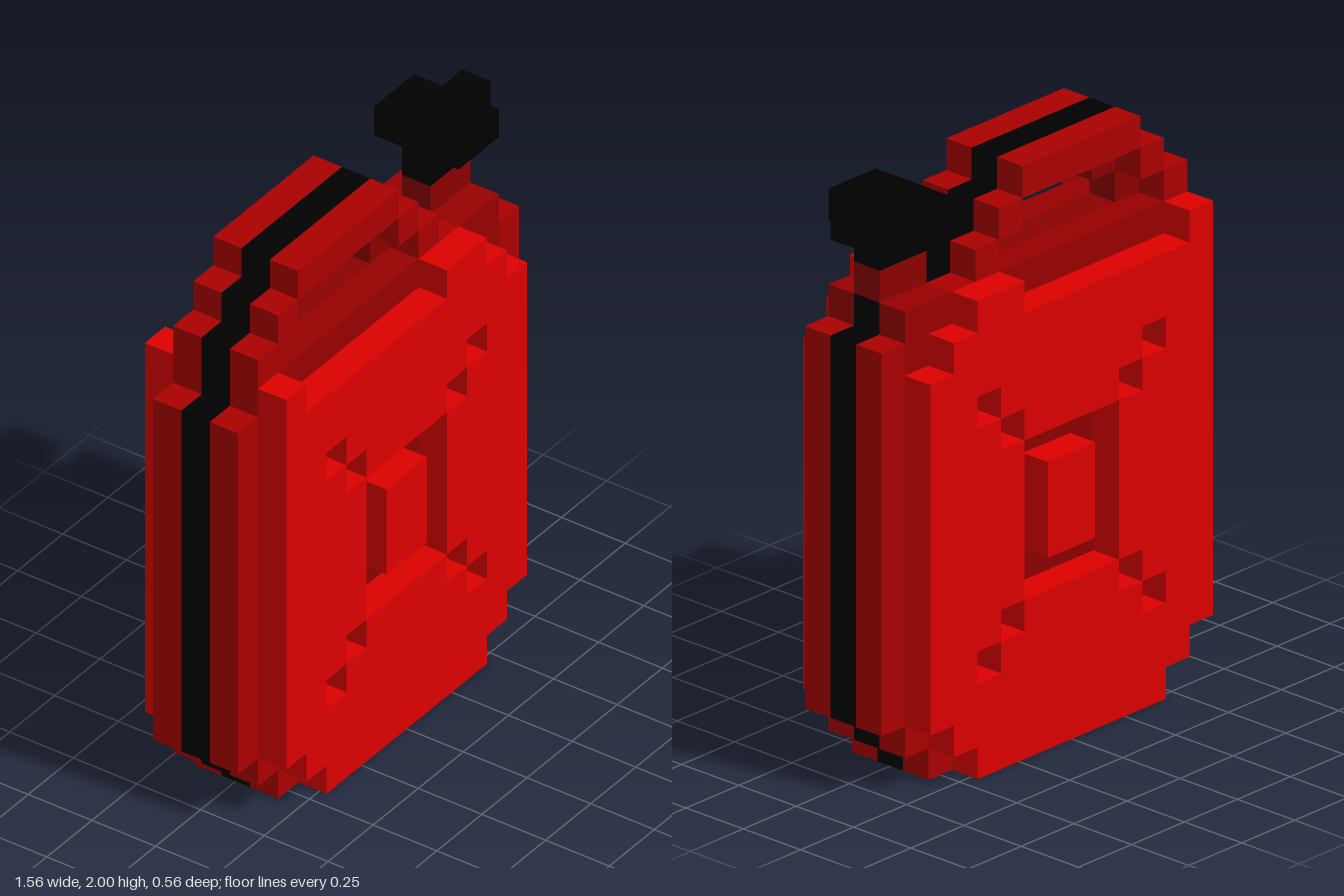
import * as THREE from 'three';

const U = 2 / 18; // size of one block

const mat = (name, color) => {
  const m = new THREE.MeshStandardMaterial({ color });
  m.name = name;
  return m;
};

export function createModel() {
  const red = mat('bright red', 0xdc0000);
  const mid = mat('deep red', 0xaa0000);
  const shade = mat('shaded red', 0x980000);
  const dark = mat('dark red', 0x8a0000);
  const black = mat('black', 0x000000);

  const parts = {
    sidePanels: red, rim: mid, shoulders: shade, insets: dark, handle: mid,
    handleCore: dark, seam: black, neck: dark, cap: black,
  };

  // Block grid: each cell remembers the part it belongs to
  const cells = new Map();
  const key = (x, y, z) => `${x},${y},${z}`;
  const fill = (part, x0, x1, y0, y1, zs) => {
    for (const z of zs)
      for (let x = x0; x < x1; x++)
        for (let y = y0; y < y1; y++) {
          if (part) cells.set(key(x, y, z), part);
          else cells.delete(key(x, y, z));
        }
  };
  const outer = [-2, 2], inner = [-1, 1], centre = [0];

  // Can body: two deep red layers around a black seam
  for (const [part, zs] of [['rim', inner], ['seam', centre]]) {
    fill(part, -5, 5, 0, 1, zs);
    fill(part, -6, 6, 1, 2, zs);
    fill(part, -7, 7, 2, 14, zs);
    fill(part, -6, 6, 14, 15, zs);
  }

  // Stepped handle with a black seam
  for (const [part, zs] of [['handle', inner], ['seam', centre]]) {
    fill(part, -4, 1, 17, 18, zs);
    fill(part, -5, -4, 16, 17, zs);
    fill(part, 1, 2, 16, 17, zs);
    fill(part, -6, -5, 15, 16, zs);
    fill(part, 2, 3, 15, 16, zs);
  }

  // Dark core inside the handle corners and under the opening
  for (const [x, y] of [[-4, 16], [0, 16], [-5, 15], [1, 15]])
    fill('handleCore', x, x + 1, y, y + 1, centre);
  fill('handleCore', -5, 2, 14, 15, centre);

  // Raised panels on the front and back
  fill('sidePanels', -4, 4, 0, 1, outer);
  fill('sidePanels', -5, 5, 1, 2, outer);
  fill('sidePanels', -6, 6, 2, 13, outer);
  fill('sidePanels', -6, 5, 13, 14, outer);
  fill('sidePanels', -6, -5, 14, 15, outer);
  fill('sidePanels', 2, 4, 14, 15, outer);

  // Recesses: open the panel and darken the layer behind
  const recess = (x0, x1, y0, y1) => {
    fill(null, x0, x1, y0, y1, outer);
    fill('insets', x0, x1, y0, y1, inner);
  };
  recess(-2, 2, 5, 10);
  for (const [x, y] of [[2, 10], [3, 11], [2, 4], [3, 3]]) {
    recess(x, x + 1, y, y + 1);
    recess(-x - 1, -x, y, y + 1);
  }
  fill('sidePanels', -1, 1, 6, 9, outer); // raised centre block

  // Shoulders below the handle and the neck
  fill('shoulders', -5, 2, 14, 15, inner);
  fill('shoulders', 4, 6, 14, 15, inner);
  fill('shoulders', 5, 6, 13, 14, inner);

  // Neck and cap
  fill('neck', 4, 6, 15, 16, centre);
  fill('cap', 4, 6, 16, 17, centre);
  fill('cap', 4, 6, 17, 18, [-1, 0, 1]);
  fill('cap', 6, 7, 17, 18, centre);

  // Emit only the exposed faces of every part
  const quads = Object.fromEntries(Object.keys(parts).map((p) => [p, { pos: [], nor: [] }]));
  for (const [k, part] of cells) {
    const c = k.split(',').map(Number);
    for (let axis = 0; axis < 3; axis++)
      for (const s of [-1, 1]) {
        const n = [0, 0, 0];
        n[axis] = s;
        if (cells.has(key(c[0] + n[0], c[1] + n[1], c[2] + n[2]))) continue;
        const u = (axis + 1) % 3, v = (axis + 2) % 3;
        const corner = (a, b) => {
          const p = [c[0] + 0.5, c[1] + 0.5, c[2]];
          p[axis] += s / 2;
          p[u] += a / 2;
          p[v] += (b * s) / 2;
          return p.map((t) => t * U);
        };
        const [p, q, r, t] = [corner(-1, -1), corner(1, -1), corner(1, 1), corner(-1, 1)];
        for (const w of [p, q, r, p, r, t]) {
          quads[part].pos.push(...w);
          quads[part].nor.push(...n);
        }
      }
  }

  const group = new THREE.Group();
  group.name = 'fuelCan';
  for (const [name, material] of Object.entries(parts)) {
    const g = new THREE.BufferGeometry();
    g.setAttribute('position', new THREE.Float32BufferAttribute(quads[name].pos, 3));
    g.setAttribute('normal', new THREE.Float32BufferAttribute(quads[name].nor, 3));
    const mesh = new THREE.Mesh(g, material);
    mesh.name = name;
    group.add(mesh);
  }
  return group;
}
